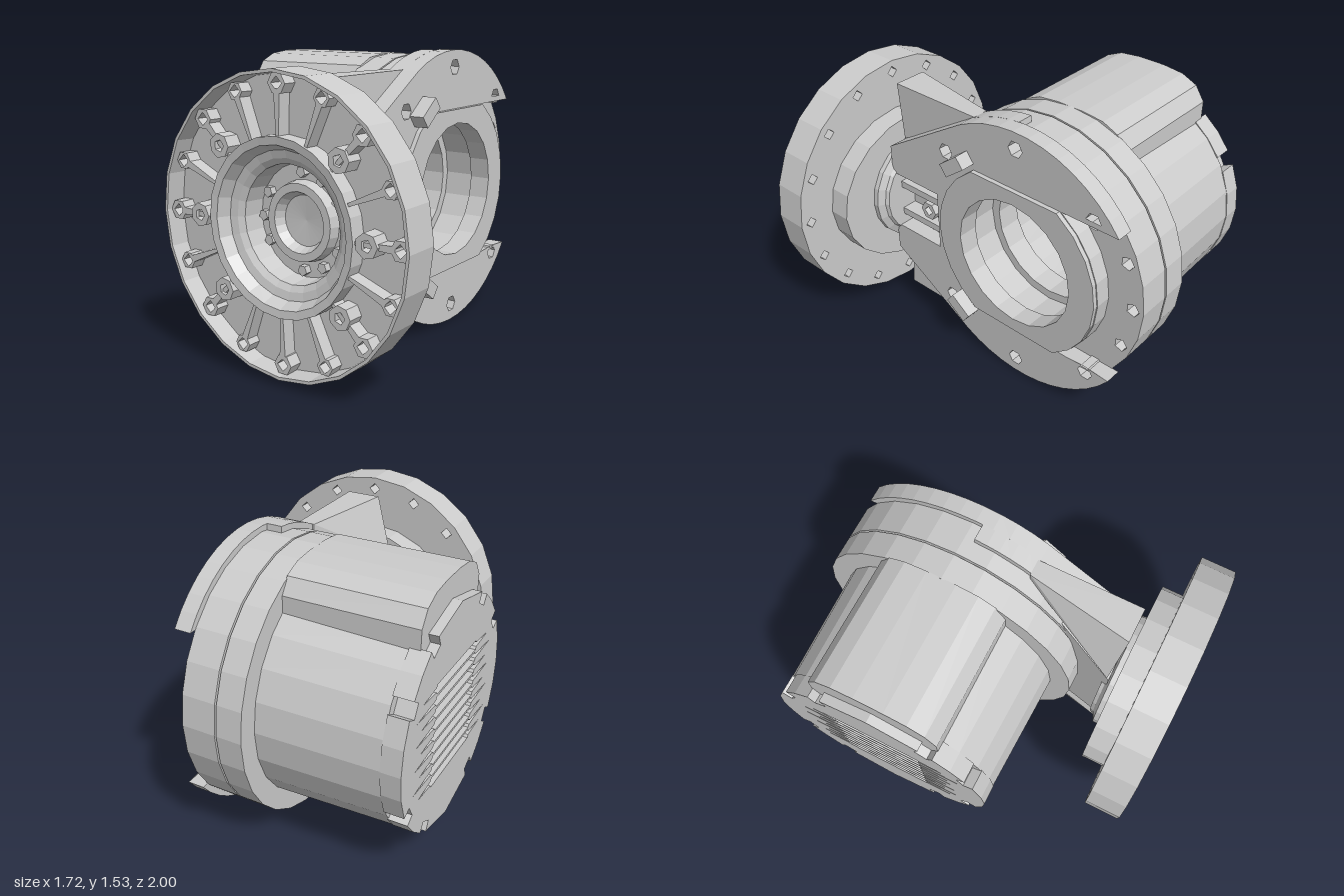
import * as THREE from 'three';
import { ConvexGeometry } from 'three/addons/geometries/ConvexGeometry.js';

const mat = new THREE.MeshStandardMaterial({ color: 0xcccccc, flatShading: true, side: THREE.DoubleSide });
const CY = 0.775, CZ = -0.26, CX = 0.125;
const polar = (r, deg) => [r * Math.cos(deg * Math.PI / 180), r * Math.sin(deg * Math.PI / 180)];

function add(parent, name, geo, x = 0, y = 0, z = 0) {
  const m = new THREE.Mesh(geo, mat);
  m.name = name;
  m.position.set(x, y, z);
  parent.add(m);
  return m;
}
const lathe = (pts, seg) => new THREE.LatheGeometry(pts.map(p => new THREE.Vector2(...p)), seg);
const latheX = (pts, seg = 24) => lathe(pts, seg).rotateZ(-Math.PI / 2);
const latheZ = (pts, seg = 24) => lathe(pts, seg).rotateX(Math.PI / 2);
const toPoints = pts => pts.map(p => new THREE.Vector2(...p));
const ring = (r, n, cx = 0, cy = 0) => Array.from({ length: n }, (_, i) => {
  const [x, y] = polar(r, i * 360 / n);
  return [cx + x, cy + y];
});
const arc = (r, a, b, n) => Array.from({ length: n + 1 }, (_, i) => polar(r, a + (b - a) * i / n));

// Extrude an outline with holes between two depths along z
function slab(outline, holes, z0, z1) {
  const s = new THREE.Shape(toPoints(outline));
  for (const h of holes) s.holes.push(new THREE.Path(toPoints(h)));
  return new THREE.ExtrudeGeometry(s, { depth: z1 - z0, bevelEnabled: false }).translate(0, 0, z0);
}
// Same along x: the outline's first axis runs to the back
const slabX = (outline, holes, x0, x1) => slab(outline, holes, x0, x1).rotateY(Math.PI / 2);

function makeFlange() {
  const g = new THREE.Group();
  g.name = 'frontFlange';
  g.position.set(CX, CY, 0);
  // Drilled web, rim and hub sunk into the middle
  const holes = [ring(0.41, 24)];
  for (let i = 0; i < 16; i++) holes.push(ring(0.032, 4, ...polar(0.665, i * 22.5)));
  add(g, 'flangeWeb', slab(ring(0.72, 24), holes, 0.812, 0.9));
  add(g, 'flangeRim', latheZ([[0.715, 0.81], [0.732, 0.81], [0.732, 1], [0.716, 1], [0.71, 0.89]]));
  add(g, 'hub', latheZ([[0.43, 0.88], [0.43, 0.985], [0.39, 0.98], [0.36, 0.92], [0.32, 0.91], [0.29, 0.89],
    [0.28, 0.78], [0.2, 0.78], [0.19, 0.835], [0.15, 0.835], [0.125, 0.785], [0, 0.775]]));
  // Tapered ribs and bolt bosses
  for (let i = 0; i < 16; i++) {
    const a = i * 22.5;
    add(g, 'rimBoss', slab(ring(i % 2 ? 0.045 : 0.052, 6), [ring(0.032, 4)], 0.89, 0.97), ...polar(0.665, a));
    const rib = add(g, 'rib', slab([[0.42, -0.008], [0.64, -0.018], [0.64, 0.018], [0.42, 0.008]], [], 0.89, 0.97));
    rib.rotation.z = a * Math.PI / 180;
    if ([0, 45, 135, 180, 225, 315].includes(a))
      add(g, 'innerBoss', slab(ring(0.06, 7), [ring(0.03, 5)], 0.89, 0.985), ...polar(0.5, a));
  }
  for (const a of [30, 60, 90, 150, 180, 210, 270, 300, 330])
    add(g, 'hubBolt', new THREE.CylinderGeometry(0.028, 0.028, 0.04, 5).rotateX(Math.PI / 2), ...polar(0.24, a), 0.795);
  // Collar behind the flange and flared neck
  add(g, 'collar', latheZ([[0.29, 0.69], [0.52, 0.69], [0.52, 0.814], [0.44, 0.814]], 20)).scale.y = 0.855;
  add(g, 'neck', latheZ([[0, 0.62], [0.27, 0.62], [0.28, 0.64], [0.32, 0.66], [0.32, 0.7], [0, 0.7]], 20));
  return g;
}

function makeArm() {
  const g = new THREE.Group();
  g.name = 'arm';
  const hull = pts => new ConvexGeometry(pts.map(p => new THREE.Vector3(...p)));
  // Tapered core between neck and gearbox
  const core = [];
  for (const s of [-1, 1]) core.push([-0.06, s * 0.3, 0.65], [0.2, s * 0.3, 0.65], [0.1, s * 0.5, 0.2], [0.2, s * 0.5, 0.2]);
  add(g, 'armCore', hull(core), 0, CY);
  for (const s of [-1, 1]) {
    // Gusset wedges above and below
    add(g, 'gusset', hull([[0.03, s * 0.675, 0.67], [0.22, s * 0.675, 0.67], [0.13, s * 0.675, 0.1], [0.22, s * 0.675, 0.1],
      [-0.07, s * 0.35, 0.64], [0.22, s * 0.35, 0.64], [0.13, s * 0.62, 0.1], [0.22, s * 0.62, 0.1]]), 0, CY);
    // Ribs in the trough, and angled lugs on the side plate
    add(g, 'troughRib', new THREE.BoxGeometry(0.1, 0.04, 0.36), 0.24, CY + s * 0.09, 0.46);
    const lug = add(g, 'lug', new THREE.BoxGeometry(0.12, 0.075, 0.15), 0.34, CY + s * 0.465, 0.1);
    lug.rotation.x = s * 0.65;
  }
  add(g, 'troughBoss', slabX(ring(0.055, 6), [ring(0.03, 4)], 0.19, 0.29), 0, CY, 0.41);
  return g;
}

function makeGearbox() {
  const g = new THREE.Group();
  g.name = 'gearbox';
  g.position.set(0, CY, CZ);
  const bore = ring(0.37, 20), wideBore = ring(0.42, 20);
  const bolts = Array.from({ length: 16 }, (_, i) => ring(0.038, 5, ...polar(0.672, i * 22.5)));
  // Paired rings with a groove between
  add(g, 'innerRing', slabX(ring(0.735, 28), [bore], -0.105, 0.035));
  add(g, 'groove', slabX(ring(0.71, 28), [wideBore], 0.03, 0.05));
  add(g, 'outerRing', slabX(ring(0.735, 28), [wideBore, ...bolts], 0.045, 0.23));
  // Side plate: front arm, round outline, rear notch leaving two tabs
  const trough = [[-0.89, -0.175], [-0.56, -0.175], [-0.56, 0.175], [-0.89, 0.175]];
  const plateBolts = [45, 90, 135, 225, 270, 315].map(a => ring(0.045, 6, ...polar(0.672, a)));
  add(g, 'sidePlate', slabX([
    [-0.91, 0.34], [-0.91, -0.34], ...arc(0.765, -119, -35.6, 12), [0.3, -0.445],
    ...arc(0.53, -57, 57, 8), [0.3, 0.445], ...arc(0.765, 35.6, 119, 12),
  ], [bore, trough, ...plateBolts], 0.228, 0.32));
  // Thicker front half of the plate
  add(g, 'frontPlate', slabX([
    [-0.91, 0.34], [-0.91, -0.34], ...arc(0.765, -119, -94, 5), ...arc(0.43, -94, -266, 12), ...arc(0.765, 94, 119, 5),
  ], [trough, ...[135, 225].map(a => ring(0.045, 6, ...polar(0.672, a)))], 0.14, 0.23));
  // Raised bearing seat with flats
  add(g, 'bearingSeat', slabX([...arc(0.525, -58, 58, 8), ...arc(0.525, 122, 238, 8)], [bore], 0.31, 0.345));
  return g;
}

function makeMotor() {
  const g = new THREE.Group();
  g.name = 'motor';
  g.position.set(0, CY, CZ);
  // Hollow housing with a small hub on its floor
  add(g, 'housing', latheX([[0, -0.76], [0.605, -0.76], [0.622, -0.1], [0.46, -0.1], [0.46, -0.5], [0.18, -0.5],
    [0.165, -0.4], [0.14, -0.4], [0.12, -0.45], [0.1, -0.48], [0, -0.48]]));
  // End cap with edge notches and a slotted grille
  const cap = [];
  let from = -26;
  for (const a of [30, 60, 120, 150, 210, 240, 300, 330]) {
    cap.push(...arc(0.608, from, a - 4, from > 0 && a % 180 !== 30 ? 2 : 4), polar(0.55, a - 4), polar(0.55, a + 4));
    from = a + 4;
  }
  // Each slot is tall in the middle and tapers to thin tails
  const slots = [];
  for (let i = -4; i <= 4; i++) {
    const y = i * 0.066, w = i % 2 ? 0.46 : 0.4;
    slots.push([[-w, y], [-0.25, y - 0.012], [-0.24, y - 0.026], [0.24, y - 0.026], [0.25, y - 0.012],
      [w, y], [0.25, y + 0.012], [0.24, y + 0.026], [-0.24, y + 0.026], [-0.25, y + 0.012]]);
  }
  add(g, 'endCap', slabX(cap, slots, -0.86, -0.755));
  // Terminal box on top, with a rounded lid
  add(g, 'terminalBox', slabX([[-0.345, 0.42], [0.345, 0.42], [0.345, 0.6], [0.29, 0.68], [0.2, 0.72], [0.08, 0.733],
    [-0.08, 0.733], [-0.2, 0.72], [-0.29, 0.68], [-0.345, 0.6]], [], -0.81, -0.1));
  return g;
}

export function createModel() {
  const model = new THREE.Group();
  model.name = 'gearMotorWithFlange';
  model.add(makeFlange(), makeArm(), makeGearbox(), makeMotor());
  return model;
}
